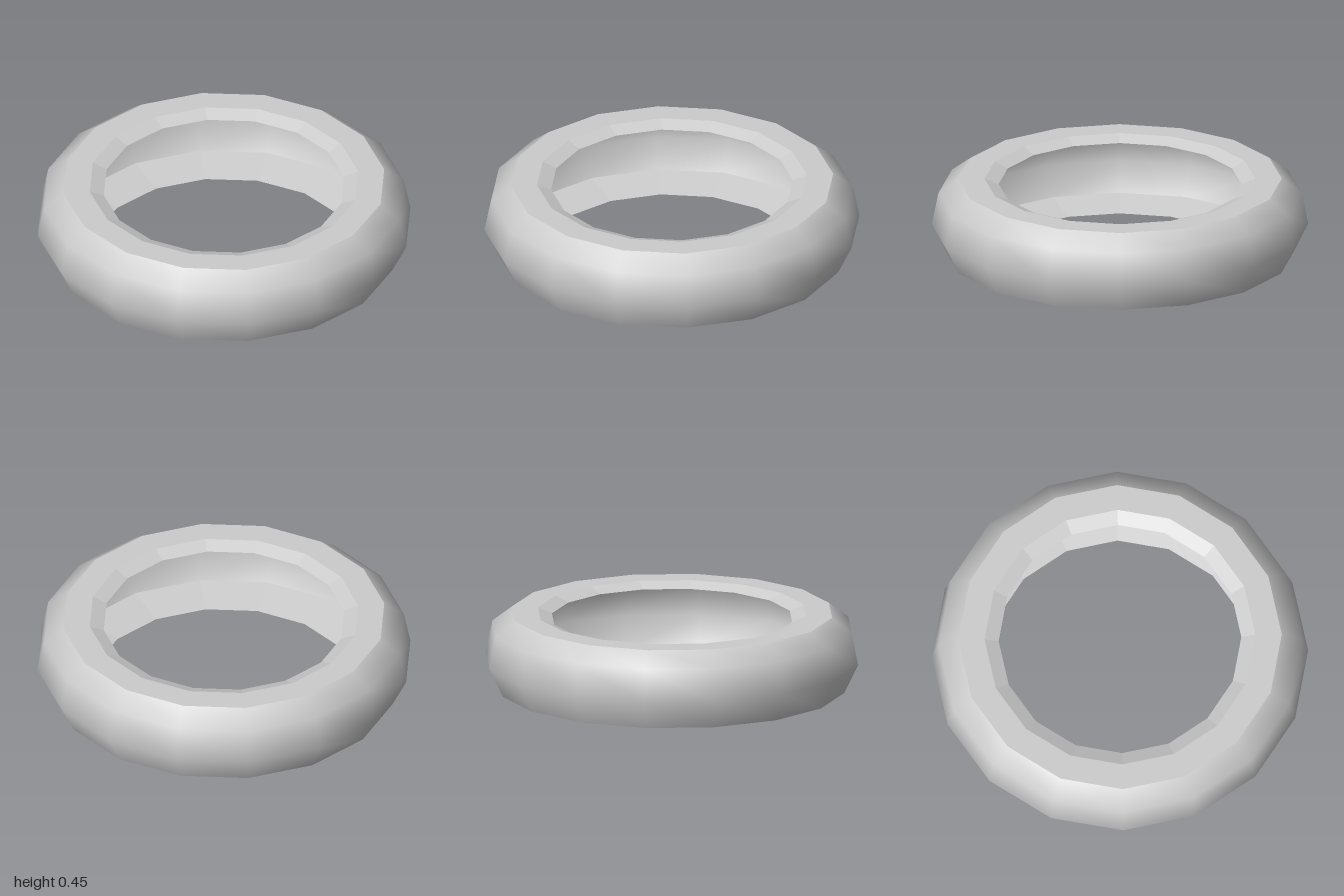
import * as THREE from 'three';

const SIDES = 16;

// One band of the ring, turned from a profile of [radius, height] points
function band(name, profile, flatShading) {
  const points = profile.map(([r, y]) => new THREE.Vector2(r, y));
  const material = new THREE.MeshStandardMaterial({
    color: 0xcccccc, side: THREE.DoubleSide, flatShading,
  });
  const mesh = new THREE.Mesh(new THREE.LatheGeometry(points, SIDES), material);
  mesh.name = name;
  return mesh;
}

export function createModel() {
  const ring = new THREE.Group();
  ring.name = 'hollowRing';
  ring.add(
    // Shallow underside, open in the middle
    band('underside', [[0.71, 0], [0.925, 0.04]], true),
    // Smooth bulging outer wall, also seen from inside the hollow
    band('outerWall', [[0.925, 0.04], [1, 0.195], [0.965, 0.37], [0.86, 0.45]], false),
    // Flat top face
    band('topFace', [[0.86, 0.45], [0.72, 0.45]], true),
    // Lip sloping down into the opening
    band('innerLip', [[0.72, 0.45], [0.645, 0.42]], true),
  );
  return ring;
}
